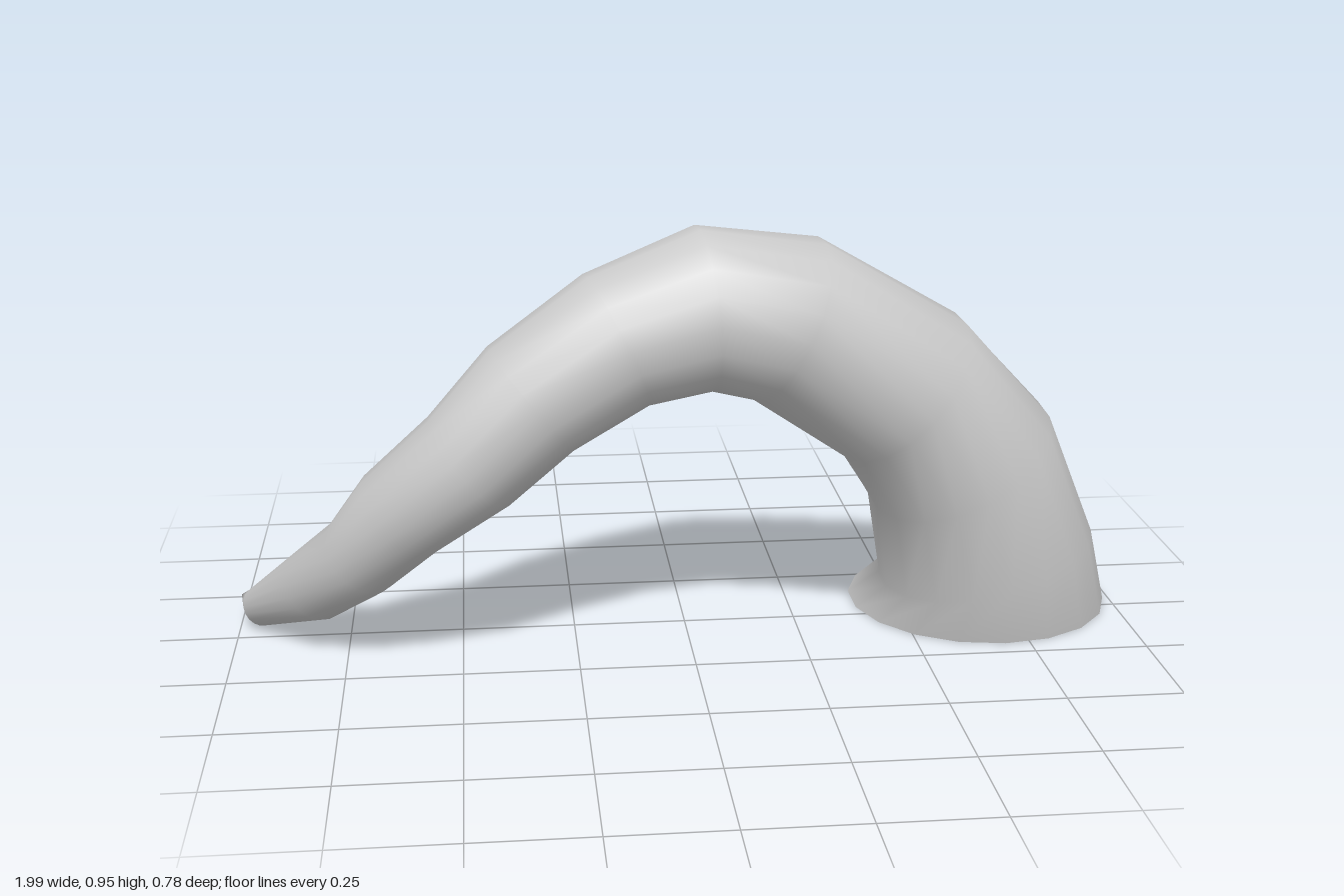
import * as THREE from 'three';

const SIDES = 18;

// Ring centres and radii from the flared base to the tip: x, y, z, radius
const RINGS = [
  [0.695, 0, -0.095, 0.297],
  [0.69, 0.143, -0.005, 0.245],
  [0.605, 0.395, 0.055, 0.218],
  [0.46, 0.575, 0.11, 0.196],
  [0.195, 0.748, 0.18, 0.184],
  [0.02, 0.775, 0.188, 0.175],
  [-0.165, 0.72, 0.218, 0.153],
  [-0.345, 0.608, 0.25, 0.14],
  [-0.475, 0.48, 0.258, 0.125],
  [-0.622, 0.357, 0.222, 0.11],
  [-0.71, 0.25, 0.17, 0.093],
  [-0.815, 0.15, 0.07, 0.083],
  [-0.955, 0.046, -0.07, 0.045],
];
const TIP = [-1, 0.058, -0.117];

// Skin round cross-sections along the curved path, closed by a point at the tip
function tentacleGeometry() {
  const centres = RINGS.map(([x, y, z]) => new THREE.Vector3(x, y, z));
  const positions = [];
  const index = [];
  centres.forEach((centre, i) => {
    const tangent = new THREE.Vector3();
    if (i === 0) tangent.set(0, 1, 0); // flat on the ground
    else if (i === 1) tangent.set(-0.25, 1, 0.05); // collar above the flare
    else tangent.subVectors(centres[Math.min(i + 1, centres.length - 1)], centres[i - 1]);
    tangent.normalize();
    const u = new THREE.Vector3(0, 0, 1).addScaledVector(tangent, -tangent.z).normalize();
    const v = new THREE.Vector3().crossVectors(tangent, u);
    for (let j = 0; j < SIDES; j++) {
      const angle = (j / SIDES) * Math.PI * 2;
      const p = centre.clone()
        .addScaledVector(u, Math.cos(angle) * RINGS[i][3])
        .addScaledVector(v, Math.sin(angle) * RINGS[i][3]);
      positions.push(p.x, Math.max(p.y, 0), p.z);
    }
  });
  const apex = RINGS.length * SIDES;
  positions.push(...TIP);
  for (let i = 0; i < RINGS.length; i++) {
    for (let j = 0; j < SIDES; j++) {
      const a = i * SIDES + j;
      const b = i * SIDES + ((j + 1) % SIDES);
      if (i === RINGS.length - 1) index.push(a, b, apex);
      else index.push(a, b, b + SIDES, a, b + SIDES, a + SIDES);
    }
  }
  const geometry = new THREE.BufferGeometry();
  geometry.setAttribute('position', new THREE.Float32BufferAttribute(positions, 3));
  geometry.setIndex(index);
  geometry.computeVertexNormals();
  return geometry;
}

export function createModel() {
  const group = new THREE.Group();
  group.name = 'tentacle';
  // Hollow at the base, so both faces show
  const material = new THREE.MeshStandardMaterial({ color: 0xcccccc, side: THREE.DoubleSide });
  const arm = new THREE.Mesh(tentacleGeometry(), material);
  arm.name = 'tentacleArm';
  group.add(arm);
  return group;
}
